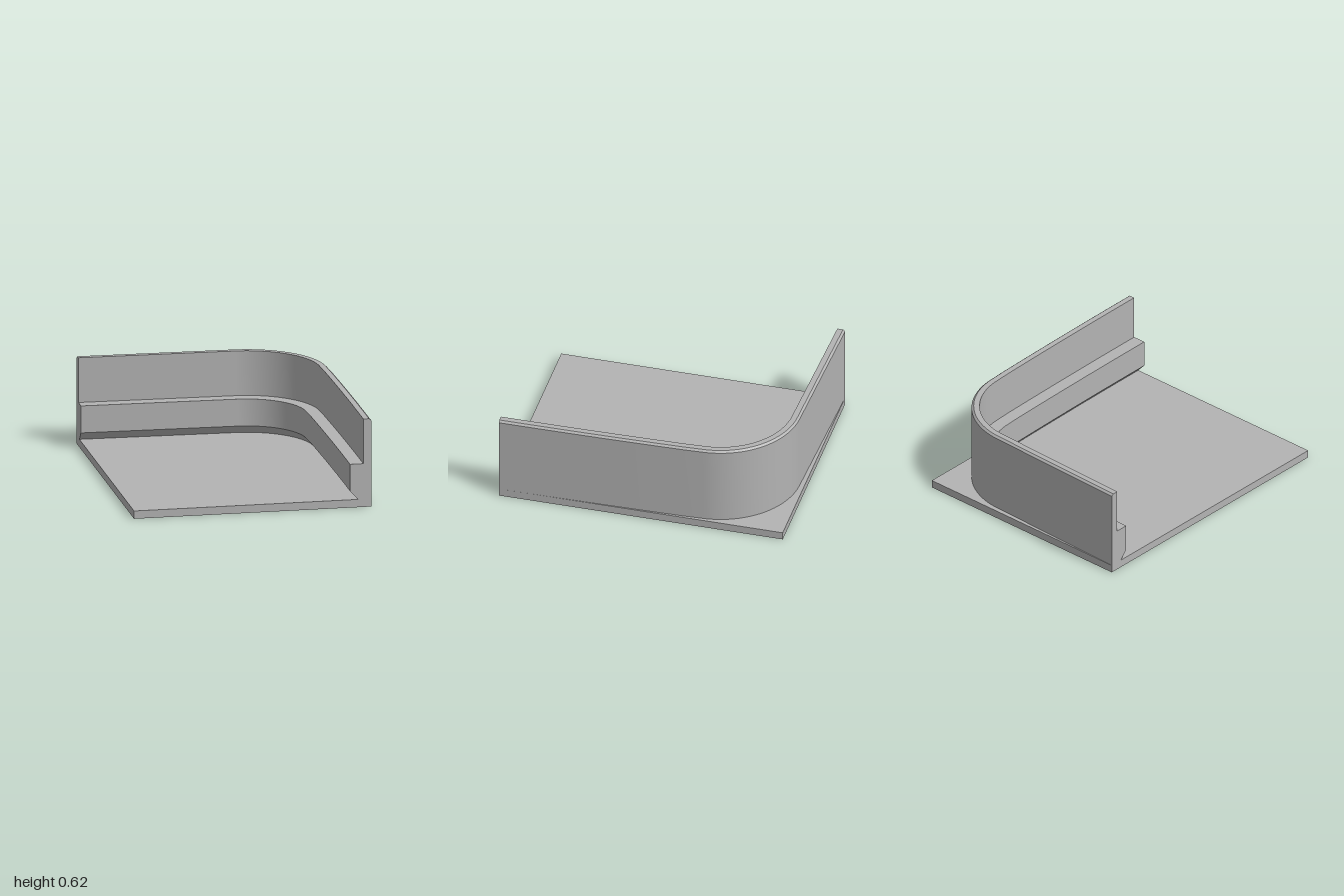
import * as THREE from 'three';
import { mergeGeometries } from 'three/addons/utils/BufferGeometryUtils.js';

const LEFT = -0.823, RIGHT = 0.823, FLOOR = 0.055;

// Outer plan line of the wall: [x, z, outward normal x, outward normal z]
function wallPath() {
  const path = [], cx = 0.24, cz = -0.407, r = 0.56, tilt = 0.03;
  // long side, bowed very slightly inward
  for (let i = 0; i < 12; i++) {
    const z = 1 - (1.42 * i) / 12;
    const a = (1 - z) / 49;
    path.push([RIGHT - ((1 - z) ** 2) / 98, z, Math.cos(a), -Math.sin(a)]);
  }
  // rounded corner
  for (let i = 0; i <= 32; i++) {
    const a = tilt + (Math.PI / 2 - 2 * tilt) * (i / 32);
    path.push([cx + r * Math.cos(a), cz - r * Math.sin(a), Math.cos(a), -Math.sin(a)]);
  }
  // nearly straight back
  path.push([LEFT, -1, Math.sin(tilt), -Math.cos(tilt)]);
  return path;
}

// Wall section: [distance inward from the outer face, height]
const section = [
  [0, FLOOR], [0, 0.607], [0.015, 0.62], [0.055, 0.62],
  [0.055, 0.305], [0.147, 0.305], [0.147, 0.115], [0.092, FLOOR],
];

function surface(points, index) {
  const g = new THREE.BufferGeometry();
  g.setAttribute('position', new THREE.Float32BufferAttribute(points.flat(), 3));
  g.setIndex(index);
  g.computeVertexNormals();
  return g;
}

function wallGeometry() {
  const path = wallPath();
  const at = ([x, z, nx, nz], [d, y]) => [Math.max(LEFT, x - nx * d), y, z - nz * d];
  const parts = [];
  // one smooth strip per section edge, so the edges stay sharp
  section.forEach((p, k) => {
    const q = section[(k + 1) % section.length];
    const points = [], index = [];
    path.forEach((s, i) => {
      points.push(at(s, p), at(s, q));
      if (i) {
        const a = 2 * i - 2;
        index.push(a, a + 2, a + 1, a + 1, a + 2, a + 3);
      }
    });
    parts.push(surface(points, index));
  });
  // cut ends
  const faces = THREE.ShapeUtils.triangulateShape(
    section.map(([d, y]) => new THREE.Vector2(-d, y)), []);
  const cap = (s, flip) => surface(section.map(p => at(s, p)),
    faces.flatMap(([a, b, c]) => (flip ? [a, c, b] : [a, b, c])));
  parts.push(cap(path[0], false), cap(path[path.length - 1], true));
  return mergeGeometries(parts);
}

export function createModel() {
  const group = new THREE.Group();
  const grey = new THREE.MeshStandardMaterial({ color: 0xb3b3b3 });
  grey.name = 'grey';

  const plate = new THREE.Mesh(new THREE.BoxGeometry(RIGHT - LEFT, FLOOR, 2), grey);
  plate.name = 'basePlate';
  plate.position.y = FLOOR / 2;

  const wall = new THREE.Mesh(wallGeometry(), grey);
  wall.name = 'curvedWall';

  group.add(plate, wall);
  return group;
}
